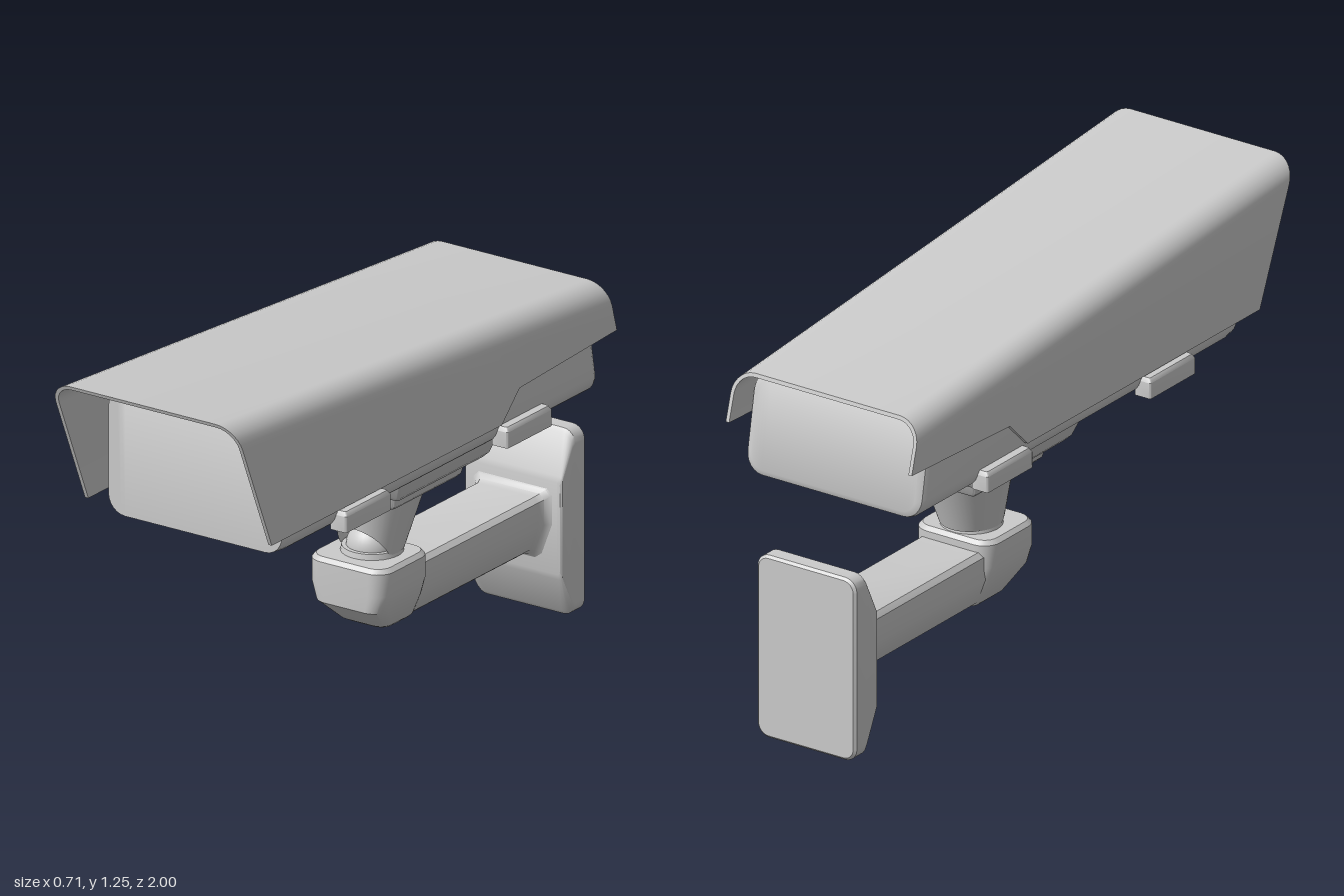
import * as THREE from 'three';
import { toCreasedNormals } from 'three/addons/utils/BufferGeometryUtils.js';

const V = (x, y, z) => new THREE.Vector3(x, y, z);

// Skin a list of closed rings, with capped ends, faces turned outwards
function loft(rings, crease = 0.6) {
  const n = rings[0].length;
  const tris = [];
  const quad = (a, b, c, d) => tris.push([a, b, c], [a, c, d]);
  for (let s = 0; s < rings.length - 1; s++) {
    for (let i = 0; i < n; i++) {
      const j = (i + 1) % n;
      quad(rings[s][i], rings[s][j], rings[s + 1][j], rings[s + 1][i]);
    }
  }
  const first = rings[0], last = rings[rings.length - 1];
  for (let i = 0; i < n / 2 - 1; i++) {
    quad(first[n - 1 - i], first[n - 2 - i], first[i + 1], first[i]);
    quad(last[i], last[i + 1], last[n - 2 - i], last[n - 1 - i]);
  }
  const cross = V(0, 0, 0);
  const volume = tris.reduce((sum, [a, b, c]) => sum + a.dot(cross.crossVectors(b, c)), 0);
  if (volume < 0) tris.forEach((t) => t.reverse());
  const geometry = new THREE.BufferGeometry().setFromPoints(tris.flat());
  return toCreasedNormals(geometry, crease);
}

// Rounded rectangle outline between two corners, as [a, b] pairs
function roundRect(a0, a1, b0, b1, r, steps = 6) {
  const out = [];
  const corners = [[a1 - r, b1 - r], [a0 + r, b1 - r], [a0 + r, b0 + r], [a1 - r, b0 + r]];
  corners.forEach(([a, b], k) => {
    for (let i = 0; i <= steps; i++) {
      const t = (k + i / steps) * Math.PI / 2;
      out.push([a + r * Math.cos(t), b + r * Math.sin(t)]);
    }
  });
  return out;
}

// Level ring at height y: half width, z range, corner radius
const levelRing = ([y, hx, z0, z1, r]) => roundRect(-hx, hx, z0, z1, r).map(([x, z]) => V(x, y, z));
// Upright ring at depth z: half width, y range, corner radius
const uprightRing = ([z, hx, y0, y1, r]) => roundRect(-hx, hx, y0, y1, r).map(([x, y]) => V(x, y, z));

// Folded sheet hood, lofted across from one lower edge to the other
function hoodGeometry() {
  const hx = 0.334, r = 0.075, t = 0.012, steps = 7;
  const topY = (z) => 1.253 - 0.0817 * (1 - z);
  const stations = [[1, 0.82, 0.83], [-0.33, -0.35, 0.83], [-0.42, -0.44, 0.918], [-0.89, -0.935, 0.94]]
    .map(([zt, zb, yb]) => ({ top: V(0, topY(zt), zt), bottom: V(0, yb, zb) }));
  const place = (st, x, drop) => {
    const f = drop === null ? 1 : drop / (st.top.y - st.bottom.y);
    const p = st.top.clone().lerp(st.bottom, f);
    p.x = x;
    return p;
  };
  const ring = (side, outer, inner) => [
    ...stations.map((s) => place(s, side * outer[0], outer[1])),
    ...[...stations].reverse().map((s) => place(s, side * inner[0], inner[1])),
  ];
  const half = (side) => {
    const rings = [ring(side, [hx, null], [hx - t, null])];
    for (let i = steps; i >= 0; i--) {
      const a = (i / steps) * Math.PI / 2;
      const at = (rad) => [hx - r + rad * Math.sin(a), r - rad * Math.cos(a)];
      rings.push(ring(side, at(r), at(r - t)));
    }
    return rings;
  };
  return loft([...half(-1), ...half(1).reverse()]);
}

// Oblique neck cup, its lower front cut away around the ball
function neckGeometry() {
  const rings = [[], []];
  const n = 48;
  for (let i = 0; i < n; i++) {
    const a = (i / n) * Math.PI * 2;
    const top = V(0.142 * Math.sin(a), 0.625, -0.195 + 0.14 * Math.cos(a));
    const low = V(0.093 * Math.sin(a), 0.435, -0.165 + 0.1 * Math.cos(a));
    const cut = Math.max(0, low.z + 0.13) * 1.35;
    rings[0].push(top);
    rings[1].push(low.lerp(top, cut / 0.19));
  }
  const points = [];
  for (let i = 0; i < n; i++) {
    const j = (i + 1) % n;
    const [a, b, c, d] = [rings[0][i], rings[1][i], rings[1][j], rings[0][j]];
    points.push(a, b, c, a, c, d);
  }
  return toCreasedNormals(new THREE.BufferGeometry().setFromPoints(points), 0.6);
}

export function createModel() {
  const model = new THREE.Group();
  const grey = new THREE.MeshStandardMaterial({ color: 0xcccccc });
  const thin = new THREE.MeshStandardMaterial({ color: 0xcccccc, side: THREE.DoubleSide });
  const add = (name, geometry, material = grey) => {
    const mesh = new THREE.Mesh(geometry, material);
    mesh.name = name;
    model.add(mesh);
    return mesh;
  };

  // Camera housing: wedge body with a leaning, softened back
  const body = [
    [0.735, 0.31, 0.762, 1.155, 0.06],
    [0.69, 0.32, 0.76, 1.222, 0.065],
    [-0.85, 0.32, 0.76, 1.075, 0.065],
    [-0.865, 0.313, 0.764, 1.069, 0.06],
    [-0.875, 0.295, 0.782, 1.05, 0.045],
  ].map(uprightRing);
  body.slice(2).flat().forEach((p) => { p.z += 0.18 * (p.y - 0.76); });
  add('housing', loft(body));
  add('sunHood', hoodGeometry());

  // Side clips
  for (const side of [-1, 1]) {
    for (const z of [0.355, -0.465]) {
      const clip = add('sideClip', loft([
        [0.76, 0.03, -0.115, 0.115, 0.008],
        [0.81, 0.03, -0.115, 0.115, 0.008],
        [0.823, 0.022, -0.107, 0.107, 0.006],
      ].map(levelRing)));
      clip.position.set(side * 0.324, 0, z);
    }
  }

  // Stepped mounting plates under the housing
  add('upperMountPlate', loft([
    [0.765, 0.256, -0.462, 0.052, 0.01],
    [0.695, 0.23, -0.442, 0.025, 0.01],
    [0.68, 0.215, -0.43, 0.012, 0.01],
  ].map(levelRing)));
  add('lowerMountPlate', loft([
    [0.685, 0.18, -0.397, -0.026, 0.01],
    [0.632, 0.168, -0.385, -0.037, 0.01],
    [0.622, 0.158, -0.376, -0.046, 0.01],
  ].map(levelRing)));

  // Swivel joint
  add('neck', neckGeometry(), thin);
  add('ball', new THREE.SphereGeometry(0.077, 32, 20)).position.set(0, 0.44, -0.165);
  add('ballCollar', new THREE.CylinderGeometry(0.09, 0.095, 0.025, 32)).position.set(0, 0.43, -0.165);

  // Arm head, chamfered towards the bottom
  add('armHead', loft([
    [0.425, 0.128, -0.262, -0.032, 0.045],
    [0.412, 0.14, -0.274, -0.02, 0.055],
    [0.34, 0.14, -0.274, -0.02, 0.055],
    [0.285, 0.122, -0.274, -0.022, 0.05],
    [0.215, 0.088, -0.274, -0.1, 0.04],
    [0.204, 0.075, -0.27, -0.12, 0.035],
  ].map(levelRing)));

  // Wall arm, flaring where it meets the plate
  const halfSection = [[0.1, 0.39], [0.115, 0.375], [0.115, 0.3], [0.085, 0.22], [0.065, 0.205]];
  const section = [...halfSection, ...[...halfSection].reverse().map(([x, y]) => [-x, y])];
  add('arm', loft([[-0.15, 1], [-0.845, 1], [-0.865, 1.06], [-0.878, 1.18], [-0.89, 1.4]].map(
    ([z, k]) => section.map(([x, y]) => V(x * k, 0.297 + (y - 0.297) * k, z)))));

  // Wall plate, sloped at top and bottom
  add('wallPlate', loft([
    [-1, 0.17, 0.008, 0.577, 0.035],
    [-0.992, 0.178, 0, 0.585, 0.042],
    [-0.945, 0.178, 0, 0.585, 0.042],
    [-0.935, 0.176, 0.012, 0.573, 0.04],
    [-0.886, 0.174, 0.13, 0.455, 0.012],
    [-0.88, 0.168, 0.148, 0.437, 0.01],
  ].map(uprightRing)));

  return model;
}
